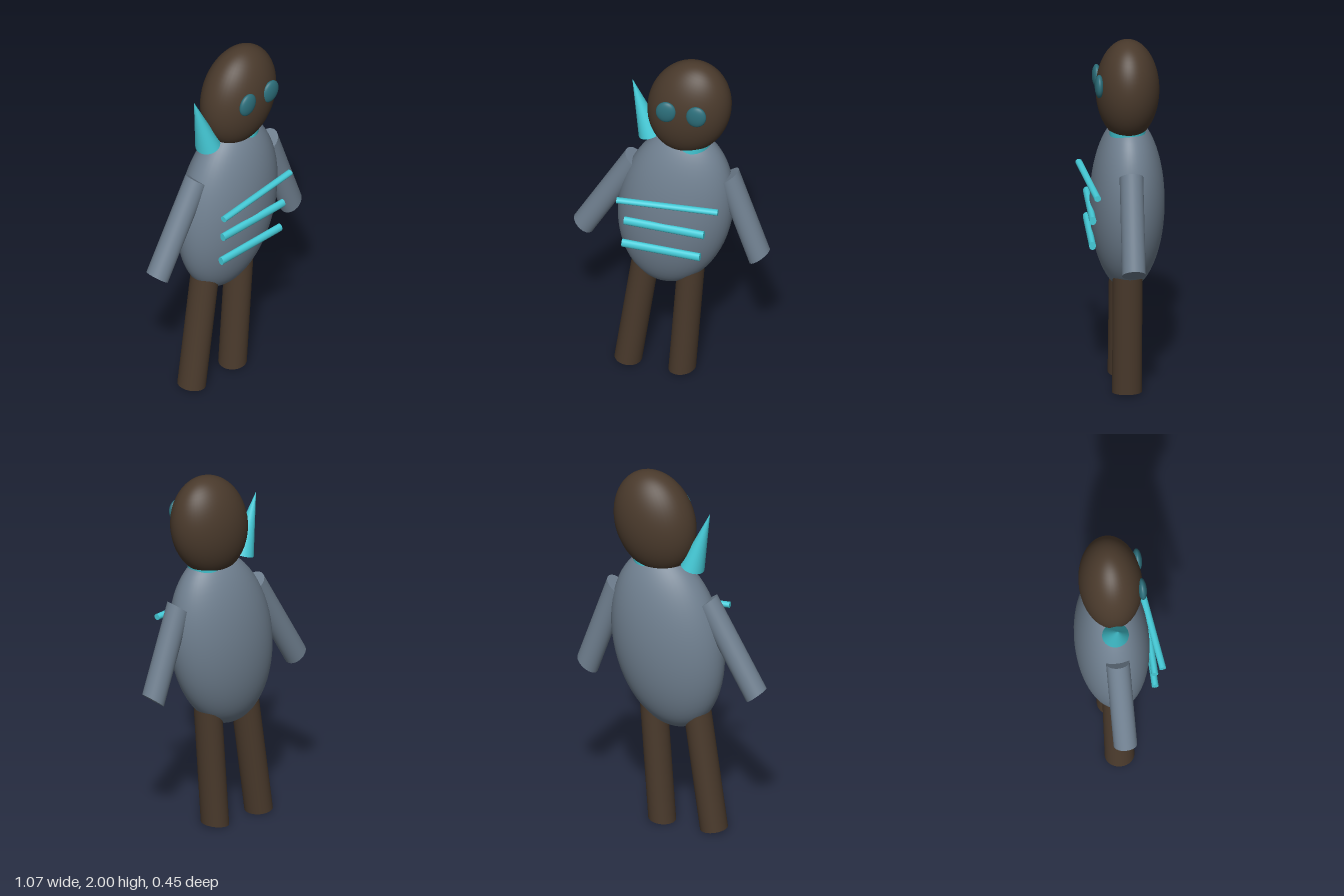
import * as THREE from 'three';

const GREY_BLUE = 0x708090, BROWN = 0x4a3a2c, CYAN = 0x45cbd8, TEAL = 0x2c6e7a;

function addMesh(group, name, geometry, color) {
  const mesh = new THREE.Mesh(geometry, new THREE.MeshStandardMaterial({ color }));
  mesh.name = name;
  group.add(mesh);
  return mesh;
}

// Ellipsoid with half-sizes, leaning sideways by tilt
function ellipsoid(group, name, color, center, radii, tilt) {
  const mesh = addMesh(group, name, new THREE.SphereGeometry(1, 48, 32), color);
  mesh.position.set(...center);
  mesh.scale.set(...radii);
  mesh.rotation.z = tilt;
  return mesh;
}

// Rod from start to end; side is the half-width vector of its end caps (may be
// slanted to the axis), depth the radius across it, tip the relative end radius
function rod(group, name, color, start, end, side, depth, tip = 1) {
  const a = new THREE.Vector3(...start), b = new THREE.Vector3(...end);
  const u = new THREE.Vector3(...side), v = b.clone().sub(a);
  const w = u.clone().cross(v).setLength(depth);
  const matrix = new THREE.Matrix4().makeBasis(u, v, w).setPosition(a.add(b).multiplyScalar(0.5));
  const geometry = new THREE.CylinderGeometry(tip, 1, 1, 32).applyMatrix4(matrix);
  return addMesh(group, name, geometry, color);
}

export function createModel() {
  const model = new THREE.Group();
  model.name = 'figure';

  // Leaning torso, neck and head
  ellipsoid(model, 'torso', GREY_BLUE, [0.02, 1.06, -0.03], [0.305, 0.5, 0.195], -0.177);
  rod(model, 'neck', CYAN, [0.107, 1.475, -0.025], [0.123, 1.555, -0.025], [0.098, -0.02, 0], 0.095);
  ellipsoid(model, 'head', BROWN, [0.095, 1.72, -0.026], [0.22, 0.284, 0.166], -0.27);

  // Eyes
  ellipsoid(model, 'rightEye', TEAL, [0.015, 1.77, 0.13], [0.054, 0.064, 0.024], -0.27);
  ellipsoid(model, 'leftEye', TEAL, [0.18, 1.773, 0.128], [0.054, 0.064, 0.024], -0.27);

  // Arms
  rod(model, 'rightArm', GREY_BLUE, [-0.485, 0.822, -0.03], [-0.204, 1.31, -0.03], [0.05, -0.04, 0], 0.062);
  rod(model, 'leftArm', GREY_BLUE, [0.477, 0.825, -0.03], [0.307, 1.307, -0.03], [0.053, 0.042, 0], 0.062);

  // Legs
  rod(model, 'rightLeg', BROWN, [-0.24, 0.009, -0.026], [-0.144, 0.677, -0.026], [0.072, -0.008, 0], 0.078);
  rod(model, 'leftLeg', BROWN, [0.055, 0.009, -0.026], [0.103, 0.677, -0.026], [0.072, 0.008, 0], 0.078);

  // Shoulder spike
  rod(model, 'shoulderSpike', CYAN, [-0.12, 1.495, -0.03], [-0.22, 1.82, -0.03], [0.061, 0.02, 0], 0.07, 0);

  // Chest bars, the top one angled outwards
  rod(model, 'topChestBar', CYAN, [-0.23, 1.192, 0.204], [0.305, 1.192, 0.146], [0, 0.016, 0], 0.018);
  rod(model, 'middleChestBar', CYAN, [-0.2, 1.04, 0.166], [0.235, 1.042, 0.166], [0, 0.023, 0], 0.018);
  rod(model, 'lowerChestBar', CYAN, [-0.212, 0.892, 0.166], [0.213, 0.894, 0.166], [0, 0.023, 0], 0.018);

  return model;
}
